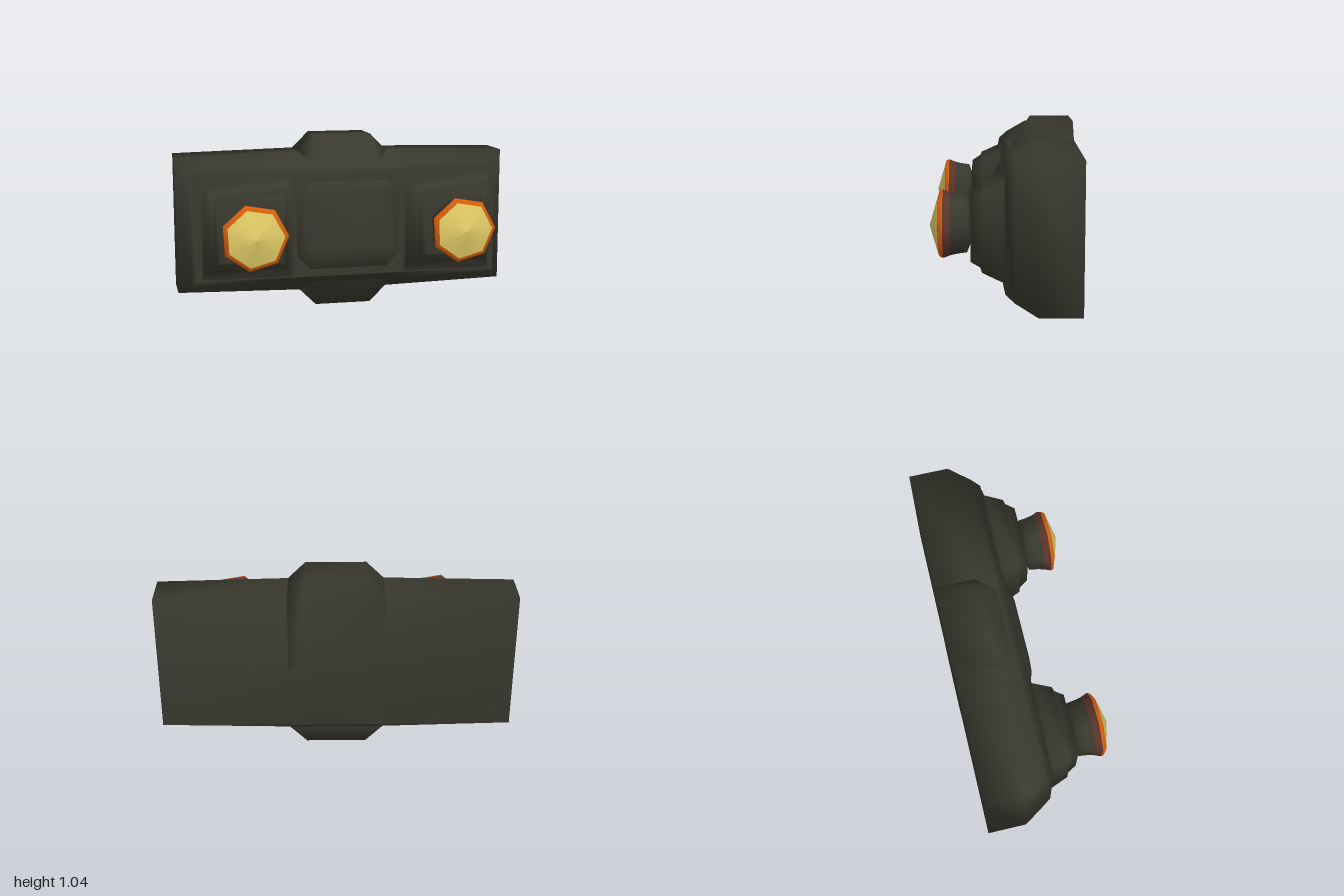
import * as THREE from 'three';

const mat = (name, color) => {
  const m = new THREE.MeshStandardMaterial({ color });
  m.name = name;
  return m;
};

const MID = 0.52; // height of the centre line

// Closed skin over cross-sections [z, [[x, y], ...]], corners anticlockwise, back to front
function loft(sections) {
  const pos = [], idx = [];
  const n = sections[0][1].length;
  for (const [z, pts] of sections) for (const [x, y] of pts) pos.push(x, y, z);
  for (let k = 0; k < sections.length - 1; k++) {
    for (let i = 0; i < n; i++) {
      const a = k * n + i, b = k * n + (i + 1) % n;
      idx.push(a, b, b + n, a, b + n, a + n);
    }
  }
  const last = (sections.length - 1) * n;
  for (let i = 1; i < n - 1; i++) {
    idx.push(0, i + 1, i);
    idx.push(last, last + i, last + i + 1);
  }
  const g = new THREE.BufferGeometry();
  g.setAttribute('position', new THREE.Float32BufferAttribute(pos, 3));
  g.setIndex(idx);
  g.computeVertexNormals();
  return g;
}

// Slab outline: outer corners plus slightly taller points near the middle
const slab = (w, h, hMid) => [
  [w, MID - h], [w, MID + h], [0.27, MID + hMid], [-0.27, MID + hMid],
  [-w, MID + h], [-w, MID - h], [-0.27, MID - hMid], [0.27, MID - hMid],
];

// Rectangle with cut corners
const octagon = (w, h, c) => [
  [w, MID - h + c], [w, MID + h - c], [w - c, MID + h], [c - w, MID + h],
  [-w, MID + h - c], [-w, MID - h + c], [c - w, MID - h], [w - c, MID - h],
];

const rect = (w, y0, y1) => [[w, y0], [w, y1], [-w, y1], [-w, y0]];

export function createModel() {
  const model = new THREE.Group();
  const dark = mat('darkCasing', 0x3a392f);
  const brown = mat('brownBand', 0x5c352b);
  const orange = mat('orangeRim', 0xd9600c);
  const yellow = mat('yellowLens', 0xe4ce68);

  const add = (parent, name, geometry, material) => {
    const mesh = new THREE.Mesh(geometry, material);
    mesh.name = name;
    parent.add(mesh);
    return mesh;
  };

  // Wide casing with sloping front edges
  add(model, 'casing', loft([
    [-0.4, slab(1, 0.405, 0.422)],
    [-0.17, slab(1, 0.405, 0.422)],
    [-0.05, slab(0.93, 0.345, 0.345)],
    [0, slab(0.9, 0.305, 0.305)],
  ]), dark);

  // Taller central block
  add(model, 'centreBlock', loft([
    [-0.4, octagon(0.27, 0.52, 0.1)],
    [-0.17, octagon(0.27, 0.52, 0.1)],
    [-0.06, octagon(0.3, 0.35, 0.1)],
    [0, octagon(0.31, 0.26, 0.08)],
    [0.04, octagon(0.24, 0.19, 0.06)],
  ]), dark);

  // Seven-sided lathe turned to face forwards; profile is [radius, z]
  const turned = (profile) => new THREE.LatheGeometry(
    profile.map(([r, z]) => new THREE.Vector2(r, z)), 7, Math.PI / 2 + 0.05
  ).rotateX(Math.PI / 2);

  for (const side of [1, -1]) {
    // Stepped square mount
    const mount = add(model, side > 0 ? 'leftMount' : 'rightMount', loft([
      [-0.02, rect(0.27, 0.22, 0.83)],
      [0.003, rect(0.265, 0.224, 0.826)],
      [0.012, rect(0.25, 0.268, 0.782)],
      [0.12, rect(0.215, 0.312, 0.738)],
      [0.128, rect(0.195, 0.335, 0.72)],
      [0.18, rect(0.17, 0.36, 0.688)],
    ]), dark);
    mount.position.x = side * 0.605;

    // Lamp with banded housing and pointed lens
    const lamp = new THREE.Group();
    lamp.name = side > 0 ? 'leftLamp' : 'rightLamp';
    lamp.position.set(side * 0.603, 0.525, 0);
    add(lamp, 'lampHousing', turned([[0, 0.175], [0.1, 0.178], [0.16, 0.2], [0.167, 0.25], [0.176, 0.288]]), dark);
    add(lamp, 'lampBand', turned([[0.176, 0.288], [0.192, 0.328]]), brown);
    add(lamp, 'lampRim', turned([[0.192, 0.328], [0.187, 0.346], [0.166, 0.353]]), orange);
    add(lamp, 'lampLens', turned([[0.166, 0.353], [0.085, 0.377], [0, 0.4]]), yellow);
    model.add(lamp);
  }

  return model;
}
